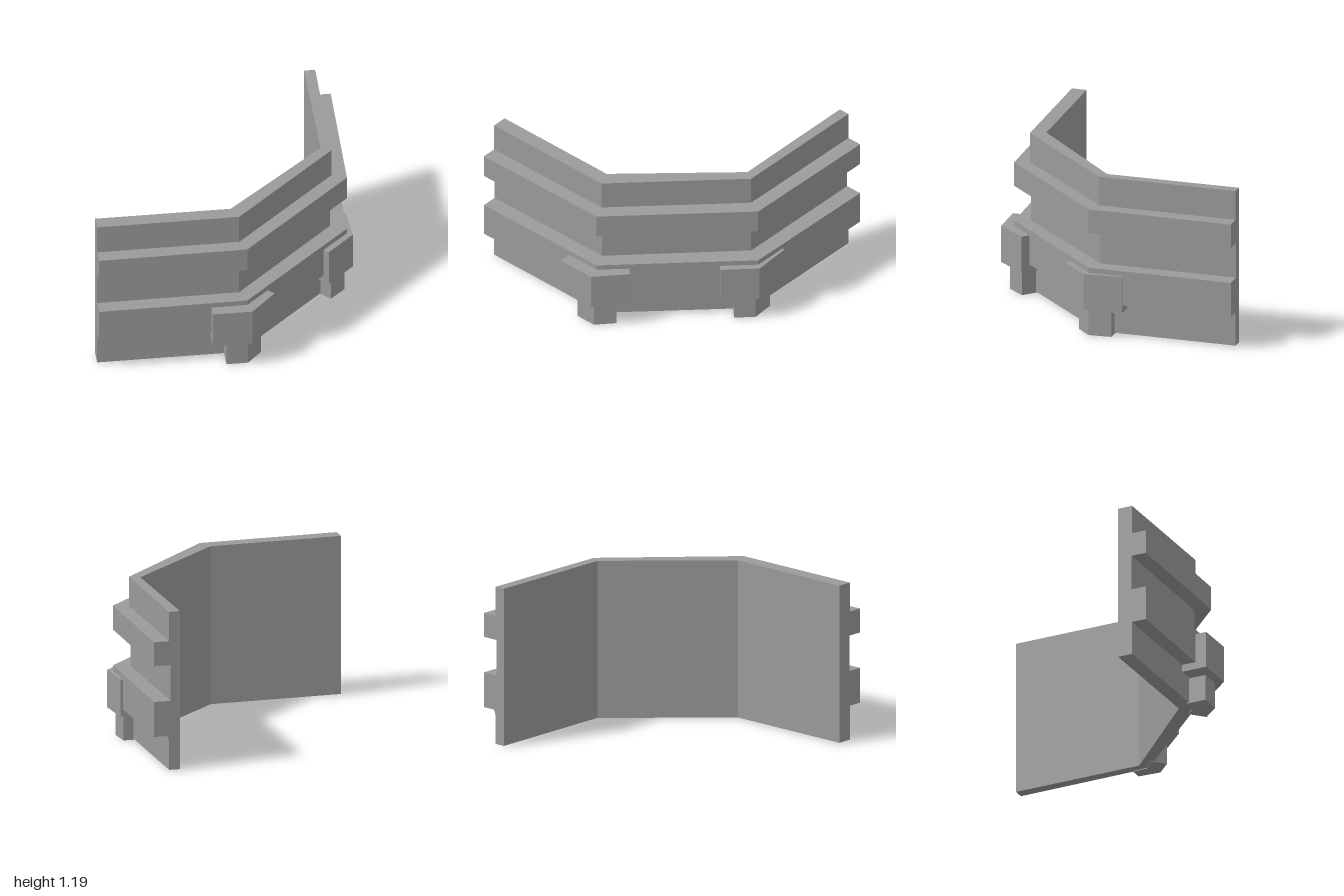
import * as THREE from 'three';

const material = new THREE.MeshStandardMaterial({ color: 0x9b9b9b, flatShading: true });

// Plan lines as [x, z], running from the right end round to the back end
const inner = [[-0.977, 0.697], [0.012, 0.694], [0.757, 0], [0.762, -1]];
const outer = [[-0.977, 0.81], [0.06, 0.805], [0.83, 0.04], [0.844, -1]];
const recess = [[-0.977, 0.805], [0.06, 0.797], [0.822, 0.03], [0.833, -1]];
const band = [[-0.977, 0.921], [0.106, 0.909], [0.938, 0.085], [0.958, -1]];

// Wall section as [y, plan line], up the outer face with its two bands
const section = [
  [0.007, inner], [0.007, outer],
  [0.262, outer], [0.262, band], [0.524, band], [0.524, recess],
  [0.791, recess], [0.791, band], [0.971, band], [0.971, outer],
  [1.19, outer], [1.19, inner],
];

// Section carried along the plan lines, with capped ends
function wall() {
  const positions = [];
  const put = (station, row) => {
    const [y, line] = section[row % section.length];
    const [x, z] = line[station];
    positions.push(x, y, z);
  };
  const last = inner.length - 1;
  for (let s = 0; s < last; s++) {
    for (let r = 0; r < section.length; r++) {
      put(s, r); put(s + 1, r); put(s + 1, r + 1);
      put(s, r); put(s + 1, r + 1); put(s, r + 1);
    }
  }
  const contour = section.map(([y, line]) => new THREE.Vector2(line[0][1], y));
  for (const [a, b, c] of THREE.ShapeUtils.triangulateShape(contour, [])) {
    put(0, a); put(0, b); put(0, c);
    put(last, a); put(last, c); put(last, b);
  }
  const geometry = new THREE.BufferGeometry();
  geometry.setAttribute('position', new THREE.Float32BufferAttribute(positions, 3));
  geometry.computeVertexNormals();
  const mesh = new THREE.Mesh(geometry, material);
  mesh.name = 'bandedWall';
  return mesh;
}

// Upright prism over a plan outline
function prism(name, outline, y0, y1) {
  const shape = new THREE.Shape(outline.map(([x, z]) => new THREE.Vector2(x, -z)));
  const geometry = new THREE.ExtrudeGeometry(shape, { depth: y1 - y0, bevelEnabled: false });
  geometry.rotateX(-Math.PI / 2).translate(0, y0, 0);
  const mesh = new THREE.Mesh(geometry, material);
  mesh.name = name;
  return mesh;
}

export function createModel() {
  const model = new THREE.Group();
  model.name = 'angledWall';
  model.add(wall());

  // Stepped corner brackets: a wide block over a narrower foot
  const brackets = [
    {
      name: 'rightBracket',
      block: [[-0.157, 1], [0.132, 1], [0.322, 0.786], [0.187, 0.655], [0.05, 0.79], [-0.157, 0.79]],
      foot: [[-0.05, 0.94], [0.107, 0.94], [0.218, 0.815], [0.117, 0.72], [0.05, 0.785], [-0.05, 0.79]],
    },
    {
      name: 'leftBracket',
      block: [[0.776, 0.314], [0.977, 0.111], [0.962, -0.175], [0.82, -0.175], [0.815, 0.035], [0.658, 0.195]],
      foot: [[0.807, 0.2], [0.918, 0.092], [0.908, -0.08], [0.82, -0.08], [0.815, 0.035], [0.712, 0.105]],
    },
  ];
  for (const { name, block, foot } of brackets) {
    const group = new THREE.Group();
    group.name = name;
    group.add(
      prism('bracketBlock', block, 0.207, 0.485),
      prism('bracketFoot', foot, 0, 0.198),
    );
    model.add(group);
  }
  return model;
}
